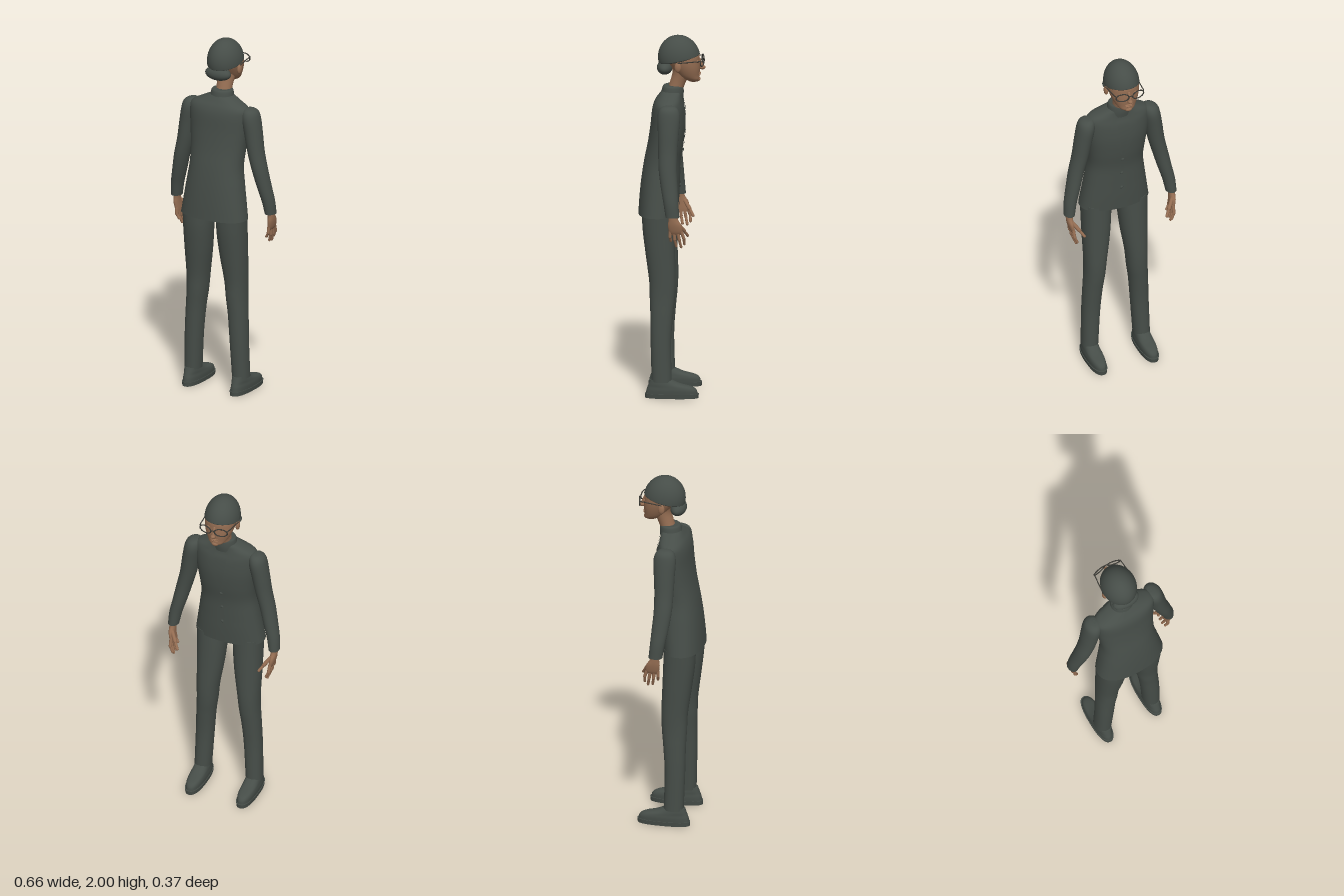
import * as THREE from 'three';

const mat = (name, color, side = THREE.FrontSide) => {
  const m = new THREE.MeshStandardMaterial({ color, side });
  m.name = name;
  return m;
};

// Smooth pair of curves through sections [y, cx, cz, rx, rz]
const sectionCurves = (secs, s = 1) => [
  new THREE.CatmullRomCurve3(secs.map(([y, cx, cz]) => new THREE.Vector3(cx * s, y, cz)), false, 'catmullrom', 0.5),
  new THREE.CatmullRomCurve3(secs.map(([, , , rx, rz]) => new THREE.Vector3(rx, 0, rz)), false, 'catmullrom', 0.5),
];

// Closed loft of superellipse rings, sections listed from bottom to top
function loft(secs, { s = 1, p = 2, n = 36, steps = 5 } = {}) {
  const [mid, rad] = sectionCurves(secs, s);
  const rows = (secs.length - 1) * steps, pos = [], idx = [];
  const bend = (v) => Math.sign(v) * Math.abs(v) ** (2 / p);
  const ring = (t) => {
    const c = mid.getPoint(t), r = rad.getPoint(t);
    for (let i = 0; i <= n; i++) {
      const a = ((i % n) / n) * Math.PI * 2;
      pos.push(c.x + r.x * bend(Math.cos(a)), c.y, c.z + r.z * bend(Math.sin(a)));
    }
    return c;
  };
  for (let j = 0; j <= rows; j++) ring(j / rows);
  const w = n + 1;
  for (let j = 0; j < rows; j++) for (let i = 0; i < n; i++) {
    const a = j * w + i;
    idx.push(a, a + w, a + 1, a + 1, a + w, a + w + 1);
  }
  for (const t of [0, 1]) {
    const base = pos.length / 3, c = ring(t), k = base + w;
    pos.push(c.x, c.y, c.z);
    for (let i = base; i < base + n; i++) t ? idx.push(k, i + 1, i) : idx.push(k, i, i + 1);
  }
  const g = new THREE.BufferGeometry();
  g.setAttribute('position', new THREE.Float32BufferAttribute(pos, 3));
  g.setIndex(idx);
  g.computeVertexNormals();
  // Join the normals where each ring closes
  const nor = g.attributes.normal, v = new THREE.Vector3(), u = new THREE.Vector3();
  for (let j = 0; j <= rows; j++) {
    v.fromBufferAttribute(nor, j * w).add(u.fromBufferAttribute(nor, j * w + n)).normalize();
    nor.setXYZ(j * w, v.x, v.y, v.z);
    nor.setXYZ(j * w + n, v.x, v.y, v.z);
  }
  return g;
}

const TORSO = [
  [1.01, 0, 0.078, 0.2, 0.108], [1.1, 0, 0.072, 0.186, 0.108], [1.2, 0, 0.065, 0.171, 0.105],
  [1.3, 0, 0.055, 0.158, 0.1], [1.4, 0, 0.037, 0.163, 0.098], [1.5, 0, 0.025, 0.174, 0.095],
  [1.59, 0, 0.022, 0.181, 0.088], [1.635, 0, 0.02, 0.174, 0.076], [1.665, 0, 0.012, 0.12, 0.064],
  [1.69, 0, 0.003, 0.065, 0.055],
];
const TORSO_P = 2.3;
const [torsoMid, torsoRad] = sectionCurves(TORSO);

// Point just proud of the jacket chest at a given x, y
function onChest(x, y) {
  let lo = 0, hi = 1;
  for (let i = 0; i < 24; i++) {
    const t = (lo + hi) / 2;
    torsoMid.getPoint(t).y < y ? (lo = t) : (hi = t);
  }
  const r = torsoRad.getPoint(lo), k = Math.min(1, Math.abs(x / r.x));
  return [x, y, torsoMid.getPoint(lo).z - r.z * (1 - k ** TORSO_P) ** (1 / TORSO_P) - 0.004];
}

// Thin cloth panel between two edges, laid over the chest
function panel(edgeA, edgeB, rows = 12, cols = 4) {
  const at = (e, t) => {
    const f = t * (e.length - 1), i = Math.min(e.length - 2, Math.floor(f));
    return [0, 1].map((k) => THREE.MathUtils.lerp(e[i][k], e[i + 1][k], f - i));
  };
  const g = new THREE.PlaneGeometry(1, 1, cols, rows), p = g.attributes.position;
  for (let i = 0; i < p.count; i++) {
    const t = p.getY(i) + 0.5, u = p.getX(i) + 0.5, a = at(edgeA, t), b = at(edgeB, t);
    p.setXYZ(i, ...onChest(a[0] + (b[0] - a[0]) * u, a[1] + (b[1] - a[1]) * u));
  }
  g.computeVertexNormals();
  return g;
}

export function createModel() {
  const model = new THREE.Group();
  model.name = 'standingPerson';
  const suit = mat('darkCloth', 0x464d48, THREE.DoubleSide);
  const skin = mat('skin', 0x946d52);
  const frame = mat('glassesFrame', 0x3b3a35);

  const add = (name, geo, m, x = 0, y = 0, z = 0) => {
    const mesh = new THREE.Mesh(geo, m);
    mesh.name = name;
    mesh.position.set(x, y, z);
    model.add(mesh);
    return mesh;
  };
  const ball = (name, m, [x, y, z], [rx, ry, rz]) =>
    add(name, new THREE.SphereGeometry(1, 28, 20).scale(rx, ry, rz), m, x, y, z);
  const rod = (name, m, a, b, r) => {
    const A = new THREE.Vector3(...a), B = new THREE.Vector3(...b), d = B.clone().sub(A);
    const mesh = add(name, new THREE.CapsuleGeometry(r, d.length(), 5, 10), m);
    mesh.position.copy(A).add(B).multiplyScalar(0.5);
    mesh.quaternion.setFromUnitVectors(new THREE.Vector3(0, 1, 0), d.normalize());
  };

  // Jacket body and standing collar
  add('jacket', loft(TORSO, { p: TORSO_P, n: 56 }), suit);
  add('collar', loft([[1.645, 0, 0.008, 0.076, 0.066], [1.68, 0, 0, 0.068, 0.062],
    [1.712, 0, -0.003, 0.062, 0.057], [1.722, 0, -0.003, 0.054, 0.049]]), suit);
  add('placket', panel([[-0.012, 1.02], [-0.012, 1.42]], [[0.012, 1.02], [0.012, 1.42]]), suit);
  for (const y of [1.16, 1.26, 1.36]) {
    const [x, by, z] = onChest(0, y);
    ball('button', suit, [x, by, z], [0.009, 0.009, 0.004]);
  }

  // Neck, head and face
  add('neck', loft([[1.66, 0, 0, 0.045, 0.042], [1.74, 0, -0.03, 0.045, 0.044],
    [1.8, 0, -0.05, 0.052, 0.05], [1.86, 0, -0.04, 0.06, 0.06]]), skin);
  add('head', loft([[1.743, 0, -0.115, 0.018, 0.02], [1.757, 0, -0.108, 0.042, 0.04],
    [1.78, 0, -0.09, 0.06, 0.058], [1.82, 0, -0.075, 0.077, 0.076], [1.86, 0, -0.06, 0.086, 0.089],
    [1.9, 0, -0.047, 0.086, 0.098], [1.95, 0, -0.045, 0.065, 0.07], [1.97, 0, -0.045, 0.03, 0.03]], { p: 2.15 }), skin);
  ball('noseTip', skin, [0, 1.822, -0.164], [0.014, 0.012, 0.018]);
  rod('noseBridge', skin, [0, 1.868, -0.146], [0, 1.828, -0.164], 0.009);
  ball('upperLip', skin, [0, 1.79, -0.146], [0.024, 0.005, 0.01]);
  ball('lowerLip', skin, [0, 1.781, -0.145], [0.021, 0.005, 0.01]);
  ball('chin', skin, [0, 1.757, -0.136], [0.022, 0.014, 0.018]);

  // Hair cap with a flattened underside, and the bun
  const cap = new THREE.SphereGeometry(1, 40, 28), cp = cap.attributes.position;
  for (let i = 0; i < cp.count; i++) if (cp.getY(i) < 0) cp.setY(i, cp.getY(i) * 0.13);
  cap.scale(0.097, 0.128, 0.116);
  cap.computeVertexNormals();
  add('hair', cap, suit, 0, 1.873, -0.037).rotation.x = 0.22;
  ball('hairBun', suit, [0, 1.82, 0.042], [0.079, 0.039, 0.043]);
  rod('glassesBridge', frame, [-0.012, 1.865, -0.174], [0.012, 1.865, -0.174], 0.003);

  for (const s of [1, -1]) {
    const side = s > 0 ? 'left' : 'right';

    // Face details and glasses
    ball(side + 'Ear', skin, [s * 0.09, 1.838, -0.035], [0.012, 0.028, 0.018]);
    ball(side + 'Eye', skin, [s * 0.034, 1.862, -0.136], [0.015, 0.009, 0.01]);
    const rim = add(side + 'Rim', new THREE.TorusGeometry(0.03, 0.0035, 8, 32).scale(1.2, 0.78, 1), frame, s * 0.046, 1.86, -0.166);
    rim.rotation.y = -s * 0.2;
    rod(side + 'Temple', frame, [s * 0.083, 1.872, -0.157], [s * 0.095, 1.862, -0.035], 0.003);

    // Lapels and pocket flaps
    add(side + 'Lapel', panel([[s * 0.005, 1.4], [s * 0.03, 1.55], [s * 0.045, 1.675]],
      [[s * 0.012, 1.4], [s * 0.085, 1.57], [s * 0.065, 1.67]]), suit);
    add(side + 'Pocket', panel([[s * 0.065, 1.13], [s * 0.065, 1.165]], [[s * 0.14, 1.14], [s * 0.138, 1.175]]), suit);

    // Sleeve
    add(side + 'Sleeve', loft([[1.045, 0.301, -0.018, 0.03, 0.038], [1.12, 0.291, -0.009, 0.035, 0.041],
      [1.2, 0.272, 0.001, 0.039, 0.046], [1.3, 0.249, 0.011, 0.043, 0.05], [1.4, 0.225, 0.012, 0.046, 0.053],
      [1.5, 0.208, 0.01, 0.049, 0.058], [1.58, 0.194, 0.009, 0.05, 0.062], [1.62, 0.188, 0.009, 0.044, 0.053],
      [1.638, 0.183, 0.009, 0.028, 0.034], [1.643, 0.18, 0.009, 0.01, 0.012]], { s }), suit);

    // Hand with four fingers and a thumb
    add(side + 'Palm', loft([[0.945, 0.292, -0.037, 0.009, 0.03], [0.965, 0.297, -0.036, 0.014, 0.038],
      [1.0, 0.302, -0.031, 0.017, 0.038], [1.03, 0.303, -0.023, 0.018, 0.027], [1.06, 0.301, -0.018, 0.019, 0.025]], { s, n: 24 }), skin);
    const fingers = [[-0.066, -0.08, -0.082, 0.885], [-0.046, -0.055, -0.064, 0.868],
      [-0.026, -0.03, -0.038, 0.872], [-0.006, -0.004, -0.008, 0.902]];
    for (const [z0, z1, z2, tip] of fingers) {
      const knuckle = (0.965 + tip) / 2;
      rod(side + 'Finger', skin, [s * 0.296, 0.965, z0], [s * 0.294, knuckle, z1], 0.009);
      rod(side + 'FingerTip', skin, [s * 0.294, knuckle, z1], [s * 0.28, tip + 0.007, z2], 0.0075);
    }
    rod(side + 'Thumb', skin, [s * 0.295, 1.005, -0.05], [s * 0.266, 0.965, -0.078], 0.011);
    rod(side + 'ThumbTip', skin, [s * 0.266, 0.965, -0.078], [s * 0.244, 0.932, -0.098], 0.008);

    // Trouser leg
    add(side + 'TrouserLeg', loft([[0.09, 0.153, 0.05, 0.046, 0.055], [0.3, 0.144, 0.055, 0.05, 0.056],
      [0.45, 0.135, 0.051, 0.053, 0.062], [0.55, 0.126, 0.048, 0.057, 0.069], [0.65, 0.121, 0.048, 0.062, 0.073],
      [0.8, 0.112, 0.06, 0.075, 0.081], [0.93, 0.107, 0.07, 0.082, 0.087], [1.03, 0.107, 0.074, 0.084, 0.088]], { s, p: 2.2 }), suit);

    // Shoe: flat sole and low upper
    add(side + 'Sole', loft([[0, 0.153, -0.005, 0.045, 0.146], [0.024, 0.153, -0.006, 0.048, 0.148]], { s, p: 2.5, steps: 1 }), suit);
    add(side + 'ShoeUpper', loft([[0.022, 0.153, -0.005, 0.044, 0.142], [0.045, 0.153, -0.004, 0.045, 0.137],
      [0.062, 0.153, 0.005, 0.043, 0.122], [0.078, 0.153, 0.033, 0.041, 0.088], [0.1, 0.153, 0.055, 0.037, 0.058]], { s, p: 2.4 }), suit);
  }
  return model;
}
